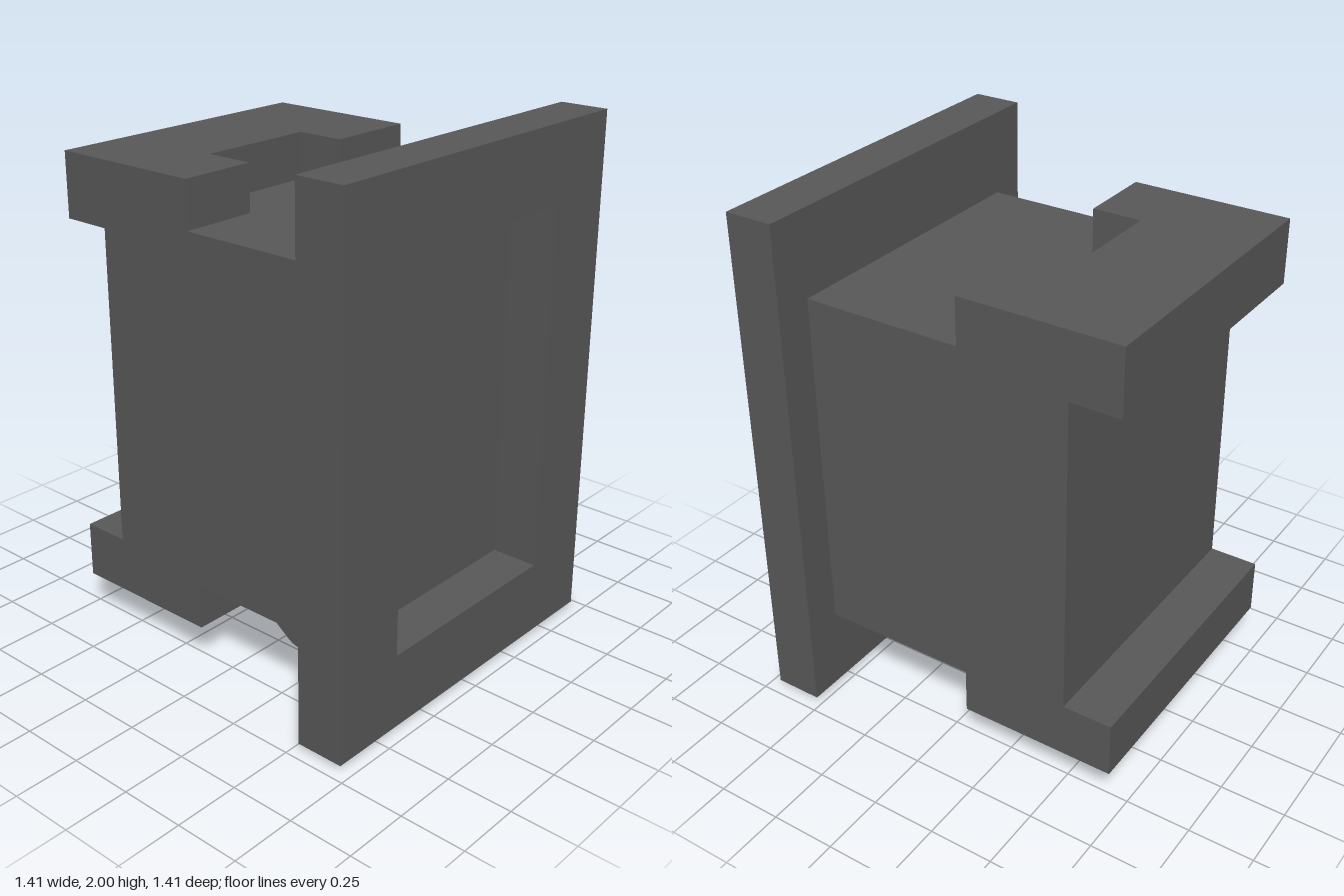
import * as THREE from 'three';
import { toCreasedNormals } from 'three/addons/utils/BufferGeometryUtils.js';

const material = new THREE.MeshStandardMaterial({ color: 0x595959 });

function addPart(group, name, geometry) {
  const mesh = new THREE.Mesh(geometry, material);
  mesh.name = name;
  group.add(mesh);
}

// Extrudes a side profile, drawn as (z, y), from x0 to x1
function extrudeSide(shape, x0, x1) {
  return new THREE.ExtrudeGeometry(shape, { depth: x1 - x0, bevelEnabled: false, curveSegments: 10 })
    .rotateY(-Math.PI / 2)
    .translate(x1, 0, 0);
}

// Box given by its limits on each axis
function boxBetween([x0, x1], [y0, y1], [z0, z1]) {
  return new THREE.BoxGeometry(x1 - x0, y1 - y0, z1 - z0)
    .translate((x0 + x1) / 2, (y0 + y1) / 2, (z0 + z1) / 2);
}

function rectangle(PathType, [x0, x1], [y0, y1]) {
  return new PathType([[x0, y0], [x1, y0], [x1, y1], [x0, y1]].map(p => new THREE.Vector2(...p)));
}

export function createModel() {
  const model = new THREE.Group();
  model.name = 'panelMountHousing';

  const side = 0.563;                    // half width of the body
  const plateBack = 0.52, plateFront = 0.707;
  const lugFront = -0.095, notchBack = -0.285, back = -0.707;
  const bodyBottom = 0.338, bodyTop = 1.68;
  const flangeBottom = 0.162, flangeTop = 1.857;

  // Front bezel with a rectangular recess
  const windowX = [-0.415, 0.415], windowY = [0.31, 1.712];
  const bezel = rectangle(THREE.Shape, [-0.707, 0.707], [0.022, 2]);
  bezel.holes.push(rectangle(THREE.Path, windowX, windowY));
  addPart(model, 'frontBezel',
    new THREE.ExtrudeGeometry(bezel, { depth: plateFront - plateBack, bevelEnabled: false })
      .translate(0, 0, plateBack));

  // Thin panel that closes the recess at the back of the bezel
  addPart(model, 'recessPanel', boxBetween(windowX, windowY, [plateBack, plateBack + 0.005]));

  // Body with overhanging rear flanges at top and bottom
  const bodyProfile = new THREE.Shape([
    [plateBack, bodyBottom], [plateBack, bodyTop], [notchBack, bodyTop], [notchBack, flangeTop],
    [back, flangeTop], [back, 1.61], [-0.515, 1.61], [-0.515, 0.38],
    [back, 0.38], [back, flangeBottom], [notchBack, flangeBottom], [notchBack, bodyBottom],
  ].map(p => new THREE.Vector2(...p)));
  addPart(model, 'body', extrudeSide(bodyProfile, -side, side));

  // Lugs on both sides of the top and bottom notches
  const lugRows = [
    { name: 'top', y: [bodyTop, flangeTop], notch: [-0.264, 0.207] },
    { name: 'bottom', y: [flangeBottom, bodyBottom], notch: [-0.237, 0.234] },
  ];
  for (const { name, y, notch } of lugRows) {
    addPart(model, name + 'RightLug', boxBetween([-side, notch[0]], y, [notchBack, lugFront]));
    addPart(model, name + 'LeftLug', boxBetween([notch[1], side], y, [notchBack, lugFront]));
  }

  // V-shaped spring clip with a rounded bend, rooted in the bottom notch
  const clip = new THREE.Shape();
  clip.moveTo(0.48, 0.342);
  clip.lineTo(0.48, 0.25);
  clip.lineTo(0.135, 0.015);
  clip.quadraticCurveTo(0.09, -0.015, 0.045, 0.015);
  clip.lineTo(notchBack, 0.25);
  clip.lineTo(notchBack, 0.342);
  clip.lineTo(0.09, 0.095);
  clip.lineTo(0.46, 0.342);
  clip.closePath();
  addPart(model, 'springClip', toCreasedNormals(extrudeSide(clip, -0.237, 0.234), 0.5));

  return model;
}
